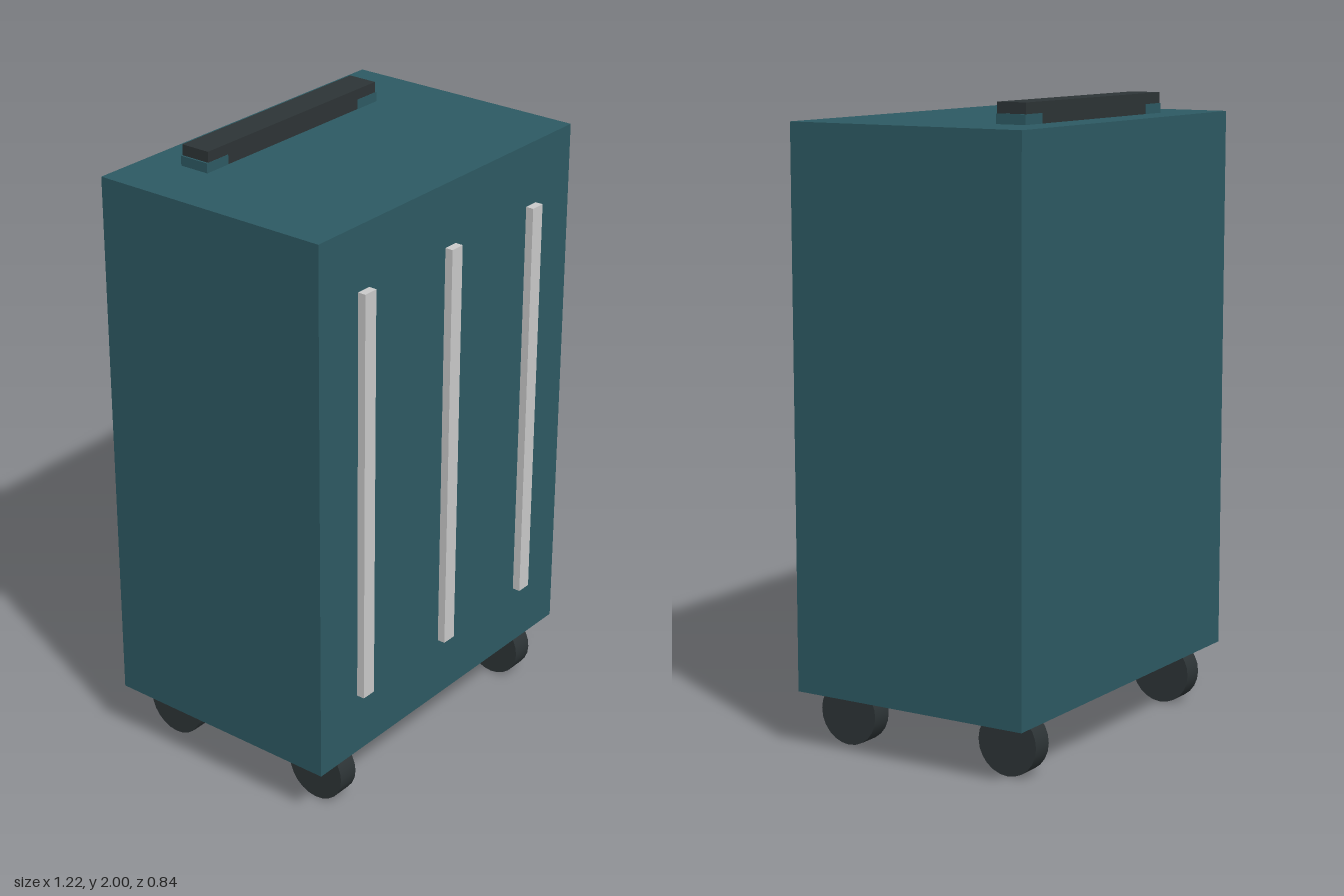
import * as THREE from 'three';

const material = (name, color) => {
  const m = new THREE.MeshStandardMaterial({ color });
  m.name = name;
  return m;
};

export function createModel() {
  const group = new THREE.Group();
  const teal = material('teal shell', 0x2d5a63);
  const dark = material('dark rubber', 0x2d3436);
  const silver = material('silver trim', 0xcacaca);

  // Box given by its lower and upper corners
  const box = (name, mat, [x0, y0, z0], [x1, y1, z1]) => {
    const mesh = new THREE.Mesh(new THREE.BoxGeometry(x1 - x0, y1 - y0, z1 - z0), mat);
    mesh.position.set((x0 + x1) / 2, (y0 + y1) / 2, (z0 + z1) / 2);
    mesh.name = name;
    group.add(mesh);
  };

  // Suitcase shell
  box('body', teal, [-0.612, 0.181, -0.422], [0.612, 1.935, 0.394]);

  // Vertical ribs on the front
  for (const x of [-0.411, 0, 0.411]) {
    box('frontRib', silver, [x - 0.025, 0.385, 0.385], [x + 0.025, 1.732, 0.42]);
  }

  // Handle on top, with a short mount under each end
  box('handle', dark, [-0.394, 1.93, -0.299], [0.394, 2, -0.199]);
  for (const side of [-1, 1]) {
    const xs = [side * 0.306, side * 0.4].sort((a, b) => a - b);
    box('handleMount', teal, [xs[0], 1.93, -0.3], [xs[1], 1.966, -0.198]);
  }

  // Four wheels, tucked slightly into the bottom
  const wheelGeometry = new THREE.CylinderGeometry(0.102, 0.102, 0.072, 24).rotateZ(Math.PI / 2);
  for (const x of [-0.468, 0.468]) {
    for (const z of [-0.303, 0.283]) {
      const wheel = new THREE.Mesh(wheelGeometry, dark);
      wheel.name = 'wheel';
      wheel.position.set(x, 0.102, z);
      group.add(wheel);
    }
  }

  return group;
}
